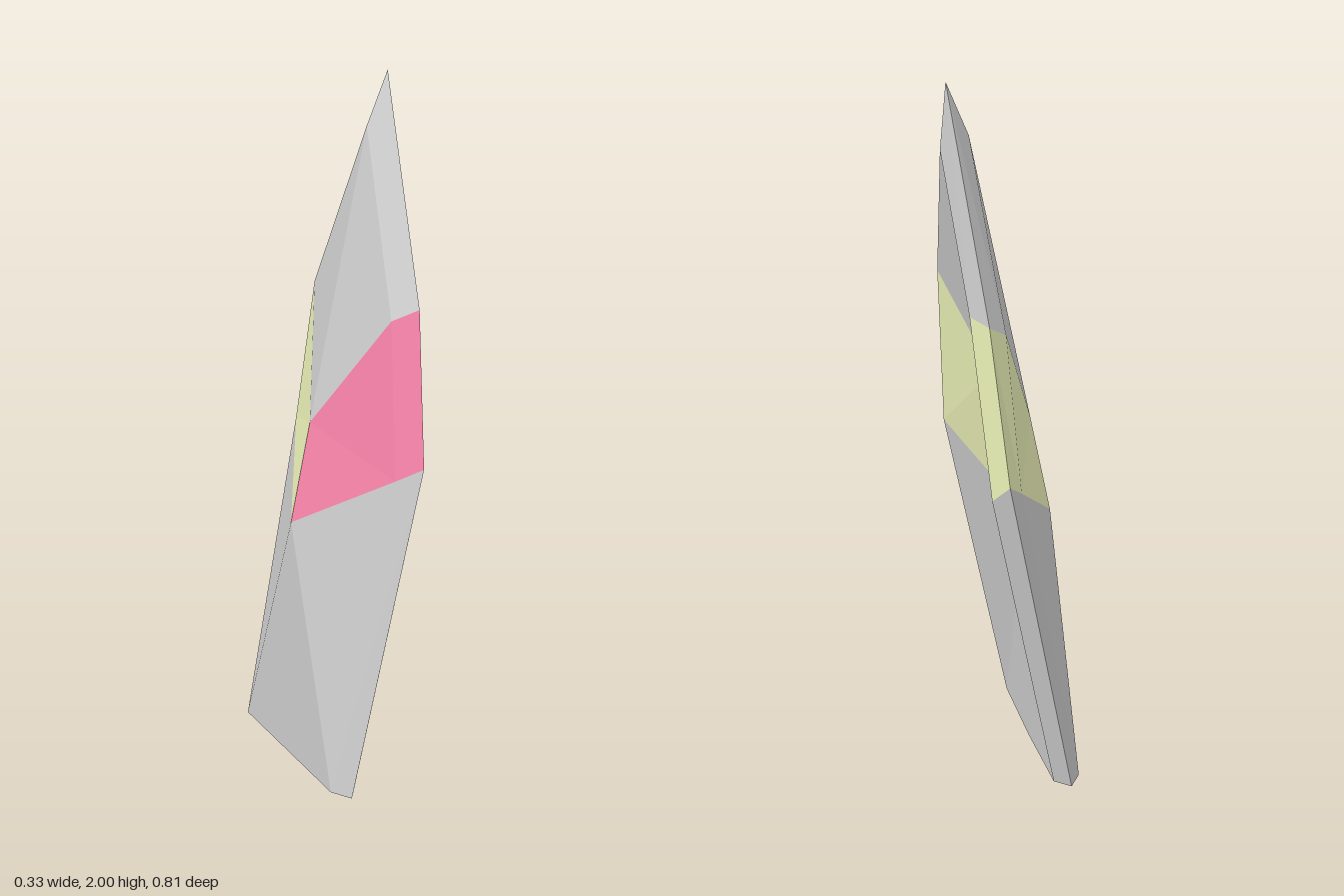
import * as THREE from 'three';

// Cross-sections of the leaning blade, bottom to top.
// Ring order: back ridge, back edge, rim, inner edge, inner valley, then the -z side in return.
const ring = (backRidge, back, rim, inner, valley, rimR = rim, innerR = inner) => {
  const mid = ([x, y]) => new THREE.Vector3(x, y, 0);
  const side = ([x, y, z], s) => new THREE.Vector3(x, y, z * s);
  return [
    mid(backRidge), side(back, 1), side(rim, 1), side(inner, 1),
    mid(valley), side(innerR, -1), side(rimR, -1), side(back, -1),
  ];
};

const base = ring([-0.165, 0.02], [-0.165, 0.02, 0.3], [-0.128, 0.02, 0.36], [-0.092, 0.005, 0.295], [-0.09, 0]);
const bandLow = ring([-0.15, 0.73], [0.015, 0.93, 0.33], [0.065, 0.98, 0.405], [0.095, 0.91, 0.32], [-0.078, 0.72]);
const bandHigh = ring([-0.09, 1.02], [0.04, 1.36, 0.25], [0.095, 1.4, 0.31], [0.13, 1.405, 0.223], [0.021, 1.165],
  [0.097, 1.4, 0.3], [0.131, 1.405, 0.208]);
const tip = ring([0.085, 1.85], [0.085, 1.85, 0], [0.148, 2, 0], [0.165, 1.815, 0], [0.165, 1.815]);

// Flat-shaded mesh from triangles, dropping collapsed ones
function facetMesh(name, color, triangles) {
  const points = triangles
    .filter(([a, b, c]) => new THREE.Triangle(a, b, c).getArea() > 1e-7)
    .flat();
  const geometry = new THREE.BufferGeometry().setFromPoints(points);
  geometry.computeVertexNormals();
  const mesh = new THREE.Mesh(geometry, new THREE.MeshStandardMaterial({ color, flatShading: true }));
  mesh.name = name;
  return mesh;
}

// Facets joining two rings over the given segments; the diagonals mirror across the ridge
function strip(low, high, segments) {
  return segments.flatMap((k) => {
    const n = (k + 1) % 8;
    const [a, b, c, d] = [low[k], low[n], high[n], high[k]];
    return k % 2 ? [[a, b, c], [a, c, d]] : [[a, b, d], [b, c, d]];
  });
}

export function createModel() {
  const group = new THREE.Group();
  group.name = 'blade';
  const all = [0, 1, 2, 3, 4, 5, 6, 7];
  const grey = 0xcccccc;

  // Lower blade with its underside
  const underside = [1, 2, 3, 4, 5, 6].map((k) => [base[0], base[k + 1], base[k]]);
  group.add(facetMesh('lowerBlade', grey, [...strip(base, bandLow, all), ...underside]));

  // Coloured band: pink on the outer +z side, yellow elsewhere
  group.add(facetMesh('pinkBand', 0xf783a9, strip(bandLow, bandHigh, [0, 1, 2])));
  group.add(facetMesh('yellowBand', 0xecf2b8, strip(bandLow, bandHigh, [3, 4, 5, 6, 7])));

  // Pointed top
  group.add(facetMesh('bladeTip', grey, strip(bandHigh, tip, all)));
  return group;
}
